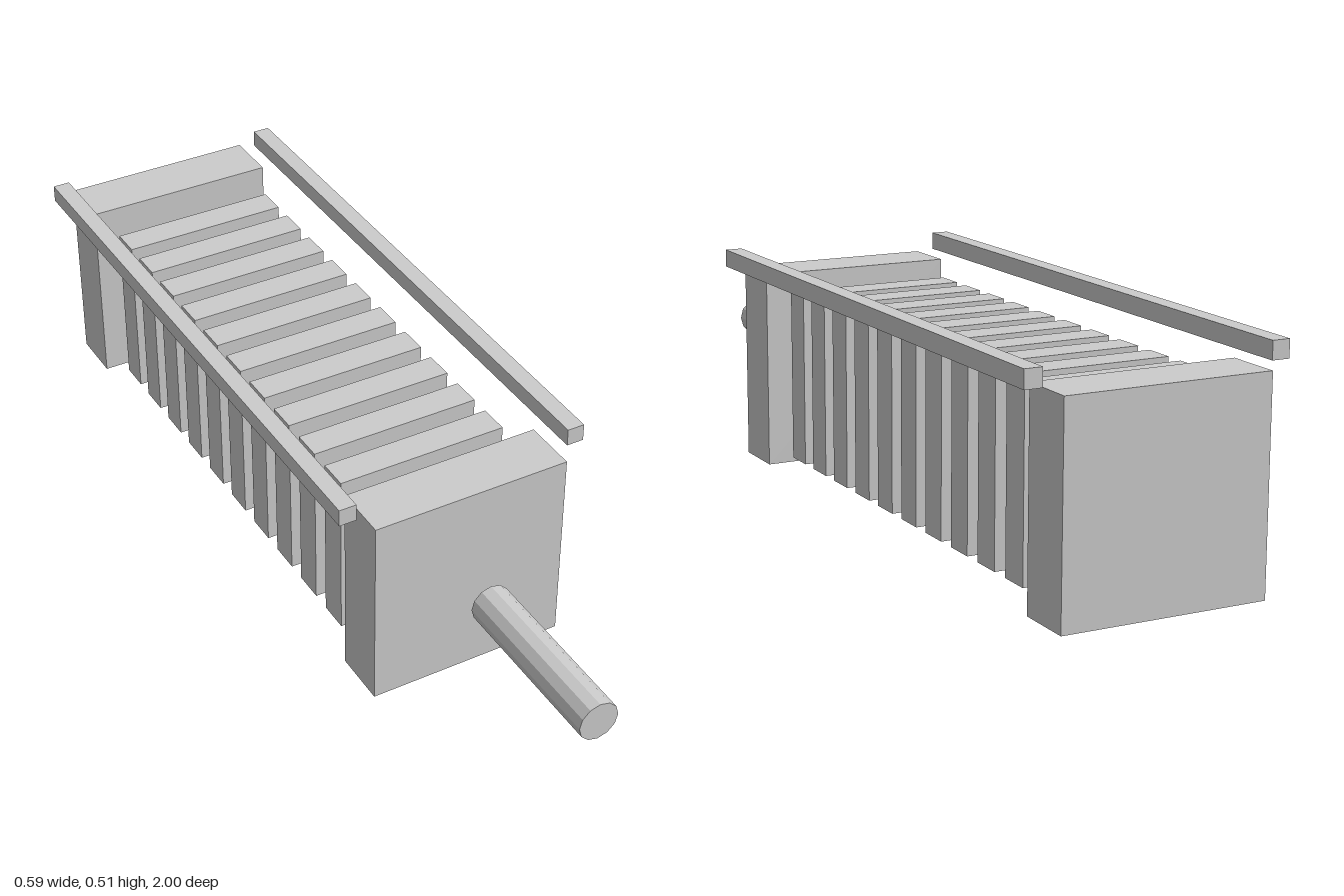
import * as THREE from 'three';

export function createModel() {
  const model = new THREE.Group();
  model.name = 'finnedBlock';
  const material = new THREE.MeshStandardMaterial({ color: 0xcccccc, flatShading: true });
  const midY = 0.231;
  const bodyZ = -0.243; // middle of the finned body

  const add = (name, geometry, x, y, z) => {
    const mesh = new THREE.Mesh(geometry, material);
    mesh.name = name;
    mesh.position.set(x, y, z);
    model.add(mesh);
    return mesh;
  };

  // End blocks
  const block = new THREE.BoxGeometry(0.462, 0.462, 0.129);
  add('frontBlock', block, 0, midY, bodyZ + 0.692);
  add('rearBlock', block, 0, midY, bodyZ - 0.692);

  // Row of evenly spaced fins between the blocks
  const fin = new THREE.BoxGeometry(0.4, 0.4, 0.071);
  for (let i = 0; i < 10; i++) {
    add(`fin${i + 1}`, fin, 0, midY, bodyZ + (4.5 - i) * 0.1155);
  }

  // Side rails
  const rail = new THREE.BoxGeometry(0.04, 0.04, 1.44);
  add('leftRail', rail, 0.275, 0.492, bodyZ);
  add('rightRail', rail, -0.275, 0.492, bodyZ);

  // Twelve-sided shaft in front
  const shaft = new THREE.CylinderGeometry(0.046, 0.046, 0.404, 12).rotateX(Math.PI / 2);
  add('shaft', shaft, 0, midY, 0.798);

  return model;
}
